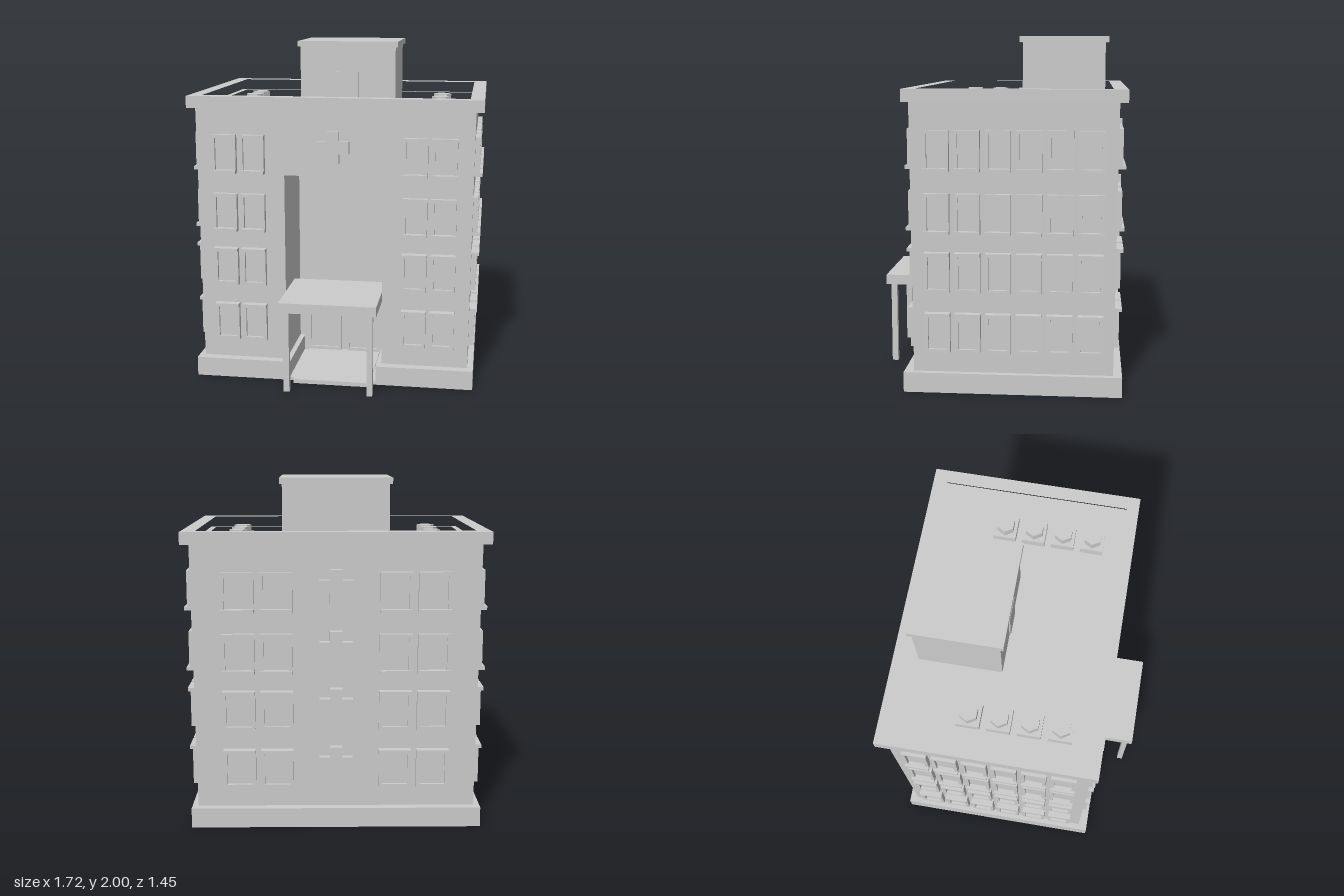
import * as THREE from 'three';

const mat = new THREE.MeshStandardMaterial({ color: 0xcccccc, flatShading: true });

function add(parent, name, geo) {
  const mesh = new THREE.Mesh(geo, mat);
  mesh.name = name;
  parent.add(mesh);
  return mesh;
}

// Box given by its limits on each axis
function box(parent, name, x0, x1, y0, y1, z0, z1) {
  const geo = new THREE.BoxGeometry(x1 - x0, y1 - y0, z1 - z0);
  geo.translate((x0 + x1) / 2, (y0 + y1) / 2, (z0 + z1) / 2);
  return add(parent, name, geo);
}

const rect = (x0, x1, y0, y1) => [[x0, y0], [x1, y0], [x1, y1], [x0, y1]];
const toPoints = (pts) => pts.map(([x, y]) => new THREE.Vector2(x, y));

function extrude(pts, depth, hole) {
  const shape = new THREE.Shape(toPoints(pts));
  if (hole) shape.holes.push(new THREE.Path(toPoints(hole)));
  return new THREE.ExtrudeGeometry(shape, { depth, bevelEnabled: false });
}

// Floor plan of [x, z] points raised from y0 to y1
function plan(pts, y0, y1, hole) {
  const flip = (list) => list.map(([x, z]) => [x, -z]);
  const geo = extrude(flip(pts), y1 - y0, hole && flip(hole));
  geo.rotateX(-Math.PI / 2);
  geo.translate(0, y0, 0);
  return geo;
}

// Outer walls lean outward slightly towards the top
const lean = (y) => 0.015 * (y - 0.115) / 1.525;
const wallX = (y) => 0.8 + lean(y);
const wallFront = (y) => 0.465 + lean(y) * 0.7;
const wallBack = (y) => -0.66 - lean(y);

function leaning(geo) {
  const p = geo.attributes.position;
  for (let i = 0; i < p.count; i++) {
    const x = p.getX(i), y = p.getY(i), z = p.getZ(i);
    if (Math.abs(x) > 0.79) p.setX(i, Math.sign(x) * wallX(y));
    if (z > 0.46) p.setZ(i, wallFront(y));
    if (z < -0.65) p.setZ(i, wallBack(y));
  }
  geo.computeVertexNormals();
  return geo;
}

// Footprint with a notch open to the front
function notched(x, front, back, notchX, notchBack) {
  return [[-x, back], [x, back], [x, front], [notchX, front], [notchX, notchBack],
    [-notchX, notchBack], [-notchX, front], [-x, front]];
}

// Framed window facing +z, standing on the wall plane z = 0
function makeWindow(w, h, ledgeOnTop) {
  const g = new THREE.Group();
  g.name = 'window';
  const a = w / 2, b = h / 2, t = 0.02;
  const frame = extrude(rect(-a, a, -b, b), 0.04, rect(-a + t, a - t, -b + t, b - t));
  frame.translate(0, 0, -0.01);
  add(g, 'windowFrame', frame);
  box(g, 'windowPane', -a + t, a - t, -b + t, b - t, -0.01, 0.012);
  const y = ledgeOnTop ? b - 0.02 : -b;
  box(g, 'windowLedge', -a, a, y, y + 0.02, -0.01, 0.046);
  return g;
}

function makeCross() {
  const a = 0.095, b = 0.036;
  const pts = [[-b, -a], [b, -a], [b, -b], [a, -b], [a, b], [b, b],
    [b, a], [-b, a], [-b, b], [-a, b], [-a, -b], [-b, -b]];
  const geo = extrude(pts, 0.05);
  geo.translate(0, 0, -0.01);
  return geo;
}

export function createModel() {
  const root = new THREE.Group();
  root.name = 'hospitalBuilding';

  // Plinth and entrance floor
  add(root, 'plinth', plan(notched(0.835, 0.52, -0.71, 0.26, 0.02), 0, 0.115));
  box(root, 'entranceFloor', -0.23, 0.23, 0, 0.025, 0.02, 0.565);
  box(root, 'recessFloor', -0.26, 0.26, 0, 0.02, 0.02, 0.52);

  // Walls around the tall entrance recess, solid storey above it
  add(root, 'lowerWalls', leaning(plan(notched(0.8, 0.465, -0.66, 0.29, 0.02), 0.115, 1.25)));
  const outline = rect(-0.8, 0.8, -0.66, 0.465);
  const roofHole = rect(-0.78, 0.78, -0.64, 0.44);
  add(root, 'upperWalls', leaning(plan(outline, 1.25, 1.58)));
  add(root, 'roofEdge', leaning(plan(outline, 1.58, 1.64, roofHole)));
  add(root, 'parapet', plan(rect(-0.86, 0.86, -0.72, 0.51), 1.64, 1.71, roofHole));

  // Roof house
  box(root, 'roofHouse', -0.3, 0.3, 1.57, 1.965, -0.6, -0.115);
  box(root, 'roofHouseCap', -0.315, 0.315, 1.965, 2, -0.62, -0.095);
  box(root, 'roofHouseDoor', -0.07, 0.07, 1.58, 1.81, -0.13, -0.107);

  // Roof vents in two rows
  for (const side of [-1, 1]) {
    for (const z of [-0.25, -0.077, 0.096, 0.27]) {
      const vent = new THREE.Group();
      vent.name = 'roofVent';
      box(vent, 'ventBase', -0.067, 0.067, 0, 0.05, -0.067, 0.067);
      const cap = new THREE.CylinderGeometry(0.055, 0.055, 0.05, 6);
      cap.rotateY(Math.PI / 6);
      cap.translate(0, 0.07, 0);
      add(vent, 'ventCap', cap);
      vent.position.set(side * 0.588, 1.575, z);
      root.add(vent);
    }
  }

  // Entrance canopy with a shallow rim, on two posts
  box(root, 'canopy', -0.285, 0.285, 0.49, 0.543, 0.22, 0.725);
  add(root, 'canopyRim', plan(rect(-0.285, 0.285, 0.22, 0.725), 0.543, 0.55,
    rect(-0.26, 0.26, 0.265, 0.68)));
  for (const s of [-1, 1]) {
    box(root, 'canopyPost', s * 0.245 - 0.017, s * 0.245 + 0.017, 0, 0.49, 0.665, 0.7);
  }

  // Double doors on the back wall of the recess
  add(root, 'doorSurround', extrude(rect(-0.26, 0.26, 0.02, 0.49), 0.03,
    rect(-0.23, 0.23, 0.025, 0.435)).translate(0, 0, 0.01));
  for (const s of [-1, 1]) {
    const c = s * 0.125;
    const frame = extrude(rect(c - 0.105, c + 0.105, 0.025, 0.435), 0.025,
      rect(c - 0.092, c + 0.092, 0.045, 0.415));
    frame.translate(0, 0, 0.015);
    add(root, 'doorFrame', frame);
    box(root, 'doorPanel', c - 0.092, c + 0.092, 0.045, 0.415, 0.01, 0.028);
  }

  // Windows on every storey; the lower two have their ledge on top
  const storeys = [[0.347, true], [0.692, true], [1.022, false], [1.372, false]];
  for (const [y, top] of storeys) {
    const h = 0.228;
    const place = (w, x, z, turn) => {
      const win = makeWindow(w, h, top);
      win.position.set(x, y, z);
      win.rotation.y = turn;
      root.add(win);
    };
    for (const s of [-1, 1]) {
      for (const x of [0.477, 0.645]) place(0.145, s * x, wallFront(y), 0);
      for (const x of [0.337, 0.553]) place(0.185, s * x, wallBack(y), Math.PI);
      for (let i = 0; i < 6; i++) {
        place(0.143, s * wallX(y), 0.325 - i * 0.171, s * Math.PI / 2);
      }
    }
    // Back wall crosses
    const cross = add(root, 'backCross', makeCross());
    cross.position.set(0, y + 0.035, wallBack(y));
    cross.rotation.y = Math.PI;
  }

  const cross = add(root, 'frontCross', makeCross());
  cross.position.set(0, 1.423, wallFront(1.42) - 0.01);

  return root;
}
